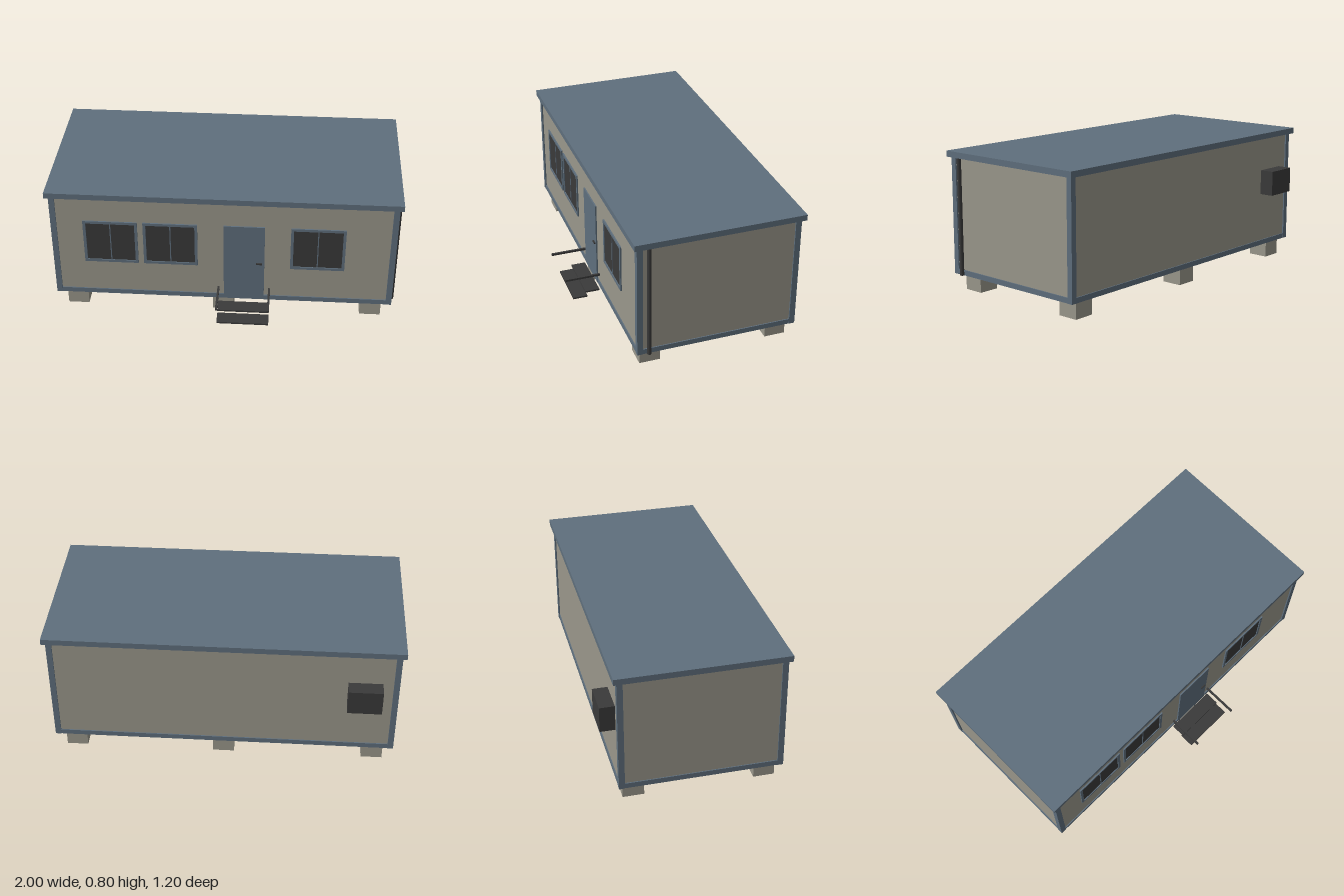
import * as THREE from 'three';

export function createModel() {
  const model = new THREE.Group();
  model.name = 'siteCabin';

  const material = (name, color) => {
    const m = new THREE.MeshStandardMaterial({ color });
    m.name = name;
    return m;
  };
  const panel = material('warm grey panel', 0x9a978b);
  const steel = material('blue grey steel', 0x5f6f7d);
  const dark = material('charcoal', 0x3a3a3a);

  // Box given by its extents on each axis
  const box = (name, mat, [x0, x1], [y0, y1], [z0, z1], parent = model) => {
    const mesh = new THREE.Mesh(new THREE.BoxGeometry(x1 - x0, y1 - y0, z1 - z0), mat);
    mesh.position.set((x0 + x1) / 2, (y0 + y1) / 2, (z0 + z1) / 2);
    mesh.name = name;
    parent.add(mesh);
    return mesh;
  };

  // Shell: wall panels, floor frame and roof slab
  box('walls', panel, [-0.972, 0.972], [0.12, 0.775], [-0.512, 0.392]);
  box('floorFrame', steel, [-0.978, 0.978], [0.1, 0.13], [-0.518, 0.398]);
  box('roof', steel, [-1, 1], [0.768, 0.802], [-0.54, 0.418]);

  // Corner posts
  for (const [x0, x1] of [[-0.98, -0.947], [0.947, 0.98]])
    for (const [z0, z1] of [[-0.52, -0.487], [0.367, 0.4]])
      box('cornerPost', steel, [x0, x1], [0.1, 0.77], [z0, z1]);

  // Foundation blocks in two rows of three
  for (const x of [-0.862, 0, 0.862])
    for (const z of [-0.43, 0.31])
      box('foundationBlock', panel, [x - 0.061, x + 0.061], [0, 0.1], [z - 0.06, z + 0.06]);

  // Windows: frame with a hole, dark panes and a centre bar
  const addWindow = (x) => {
    const win = new THREE.Group();
    win.name = 'window';
    win.position.set(x, 0.471, 0.391);
    const rect = (Type, w, h) => new Type([
      new THREE.Vector2(-w, -h), new THREE.Vector2(w, -h),
      new THREE.Vector2(w, h), new THREE.Vector2(-w, h),
    ]);
    const shape = rect(THREE.Shape, 0.155, 0.14);
    shape.holes.push(rect(THREE.Path, 0.139, 0.124));
    const frame = new THREE.Mesh(
      new THREE.ExtrudeGeometry(shape, { depth: 0.009, bevelEnabled: false }), steel);
    frame.name = 'windowFrame';
    win.add(frame);
    box('windowPane', dark, [-0.14, 0.14], [-0.125, 0.125], [-0.002, 0.004], win);
    box('windowBar', steel, [-0.003, 0.003], [-0.125, 0.125], [0, 0.007], win);
    model.add(win);
  };
  [-0.642, -0.3, 0.54].forEach(addWindow);

  // Door with handle
  box('door', steel, [0.005, 0.238], [0.102, 0.612], [0.386, 0.4]);
  box('doorHandle', dark, [0.191, 0.224], [0.355, 0.365], [0.398, 0.407]);

  // Entrance steps and handrails
  box('upperStep', dark, [-0.028, 0.272], [0.065, 0.075], [0.397, 0.481]);
  box('lowerStep', dark, [-0.028, 0.272], [0.035, 0.045], [0.47, 0.555]);
  for (const x of [-0.026, 0.269])
    box('handrail', dark, [x - 0.006, x + 0.006], [0.167, 0.179], [0.39, 0.6]);

  // Drainpipe on the left side wall
  const pipe = new THREE.Mesh(new THREE.CylinderGeometry(0.012, 0.012, 0.67, 12), dark);
  pipe.name = 'drainpipe';
  pipe.position.set(0.984, 0.435, 0.334);
  model.add(pipe);

  // Air conditioner on the back wall
  box('airConditioner', dark, [-0.888, -0.696], [0.422, 0.57], [-0.597, -0.505]);

  return model;
}
